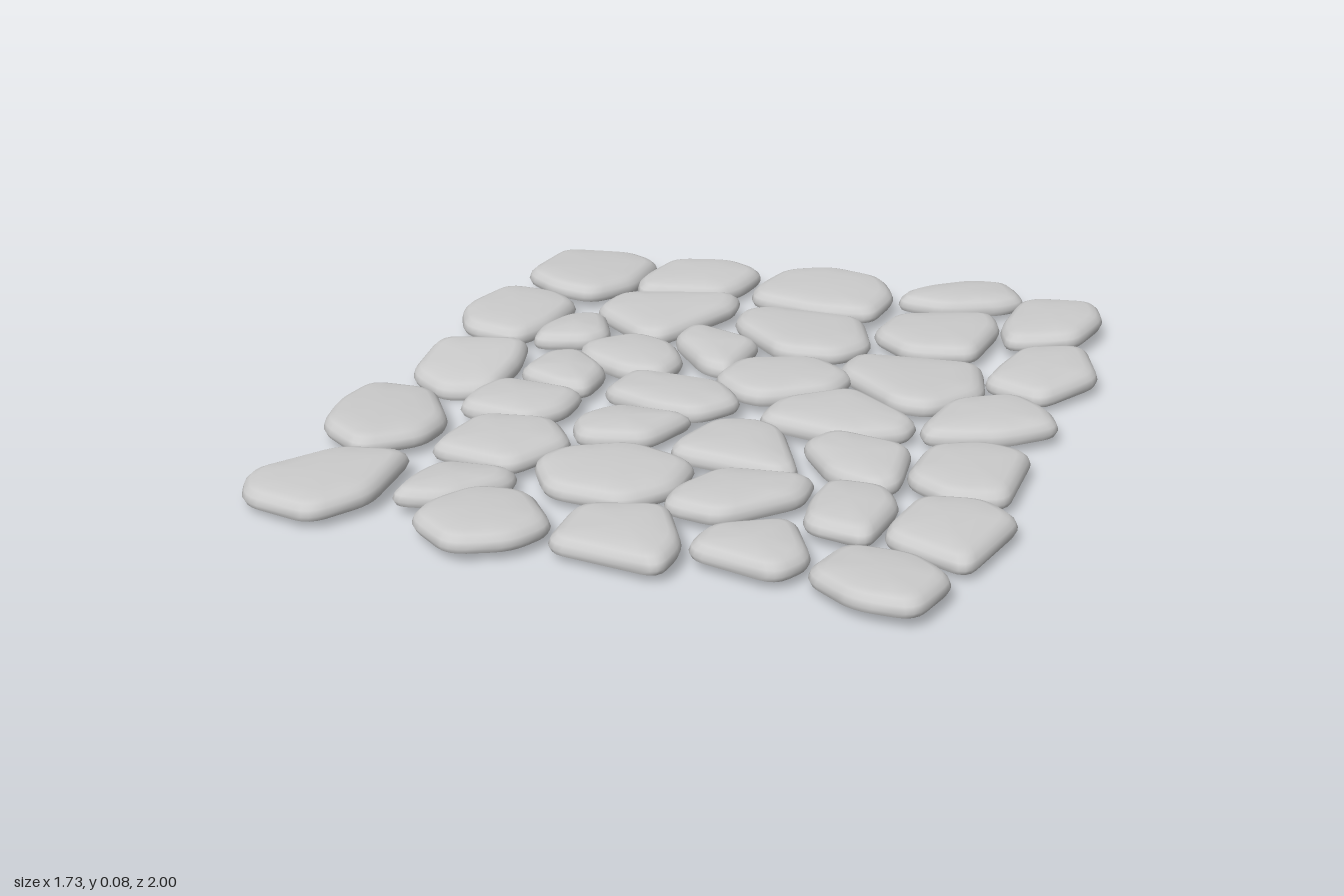
import * as THREE from 'three';

const material = new THREE.MeshStandardMaterial({ color: 0xcccccc, roughness: 0.9, side: THREE.DoubleSide });

// Stone profile from the open underside to the crown: [inset from outline, height]
const PROFILE = [[0.006, 0], [0, 0.012], [0.005, 0.026], [0.018, 0.038], [0.036, 0.044], [0.08, 0.047]];
const ARC = 4; // segments per rounded corner

// Rounds every corner of a polygon; returns the outline as Vector2 (x, z)
function roundedOutline(flat) {
  const corners = [];
  for (let i = 0; i < flat.length; i += 2) corners.push(new THREE.Vector2(flat[i] / 100, flat[i + 1] / 100));
  const n = corners.length, outline = [];
  const towards = (a, b) => {
    const length = a.distanceTo(b);
    return a.clone().lerp(b, Math.min(0.045, length * 0.36) / length);
  };
  corners.forEach((corner, i) => {
    const start = towards(corner, corners[(i + n - 1) % n]);
    const end = towards(corner, corners[(i + 1) % n]);
    outline.push(...new THREE.QuadraticBezierCurve(start, corner, end).getPoints(ARC));
  });
  return outline;
}

// Domed, bottomless stone lofted from scaled copies of its outline
function stoneGeometry(flat, base, tiltX, tiltZ) {
  const outline = roundedOutline(flat), n = outline.length;
  const centre = outline.reduce((s, p) => s.add(p), new THREE.Vector2()).divideScalar(n);
  const radius = outline.reduce((s, p) => s + p.distanceTo(centre), 0) / n;
  const positions = [], index = [];
  const push = (x, y, z) => positions.push(centre.x + x, base + y + tiltX * x + tiltZ * z, centre.y + z);
  for (const [inset, y] of PROFILE) {
    const k = 1.02 * (1 - inset / radius);
    for (const p of outline) push((p.x - centre.x) * k, y, (p.y - centre.y) * k);
  }
  push(0, 0.05, 0);
  const last = PROFILE.length - 1, crown = PROFILE.length * n;
  for (let r = 0; r <= last; r++) {
    for (let i = 0; i < n; i++) {
      const j = (i + 1) % n, a = r * n + i, b = r * n + j;
      if (r === last) index.push(crown, b, a);
      else index.push(a + n, b, a, a + n, b + n, b);
    }
  }
  const geometry = new THREE.BufferGeometry();
  geometry.setAttribute('position', new THREE.Float32BufferAttribute(positions, 3));
  geometry.setIndex(index);
  geometry.computeVertexNormals();
  return geometry;
}

export function createModel() {
  const model = new THREE.Group();
  model.name = 'stonePaving';
  let count = 0;

  // Corners are x, z pairs in hundredths, clockwise from above;
  // settings override the resting height and slope of single stones
  function addRow(name, stones, settings = {}) {
    const row = new THREE.Group();
    row.name = name;
    stones.forEach((corners, i) => {
      count++;
      const { base = 0.021, tiltX = 0.025 * Math.sin(count * 2.4), tiltZ = 0.025 * Math.cos(count * 1.7) } = settings[i] ?? {};
      const stone = new THREE.Mesh(stoneGeometry(corners, base, tiltX, tiltZ), material);
      stone.name = `stone${count}`;
      row.add(stone);
    });
    model.add(row);
  }

  addRow('backRow', [
    [-76, -89, -57, -94, -47, -89, -47, -69, -55, -56, -67, -58, -78, -66],
    [-43, -89, -27, -94, -16, -89, -18, -76, -22, -69, -44, -64, -47, -72],
    [-10, -88, 2, -94, 18, -90, 24, -79, 22, -63, 5, -62, -12, -66, -14, -73],
    [25, -82, 29, -89, 41, -99, 51, -101, 58, -89, 53, -82, 38, -75, 26, -77],
    [61, -88, 77, -89, 81, -78, 77, -61, 60, -55, 56, -66, 57, -84],
  ], { 0: { base: 0.02, tiltX: -0.03, tiltZ: 0.03 }, 2: { base: 0.031, tiltX: 0, tiltZ: -0.02 }, 4: { base: 0.029, tiltX: 0.03, tiltZ: -0.01 } });

  addRow('secondRow', [
    [-47, -60, -16, -67, -14, -57, -26, -33, -32, -32, -50, -47, -49, -55],
    [-7, -61, 20, -62, 27, -44, 21, -33, 6, -31, -11, -47, -12, -56],
    [27, -67, 52, -76, 56, -66, 54, -44, 37, -41, 25, -52],
    [65, -53, 80, -58, 87, -39, 76, -21, 60, -28, 61, -37],
  ]);

  addRow('thirdRow', [
    [-79, -55, -64, -55, -56, -49, -57, -32, -62, -20, -78, -23, -84, -36],
    [-55, -41, -46, -44, -39, -29, -43, -22, -57, -19, -59, -28],
    [-33, -32, -21, -28, -15, -18, -17, -7, -27, -6, -41, -13, -44, -21],
    [-21, -43, 0, -36, -2, -15, -10, -17, -23, -32],
    [-2, -24, 17, -30, 29, -21, 27, -10, 11, 0, 4, -2, -5, -11],
    [25, -35, 57, -40, 62, -21, 52, -6, 43, -6, 24, -23],
    [55, -13, 70, -21, 80, -13, 84, -4, 72, 6, 55, 10, 52, 5],
  ]);

  addRow('middleRow', [
    [-80, -12, -57, -17, -54, -5, -55, 12, -67, 16, -79, 8],
    [-50, -13, -43, -17, -31, -6, -31, 8, -38, 9, -52, 3],
    [-26, -9, 0, -6, 8, 5, 0, 16, -13, 14, -28, 7],
    [15, 1, 31, -12, 51, 2, 50, 10, 36, 17, 14, 13],
  ], { 0: { base: 0.015, tiltX: 0, tiltZ: -0.1 } });

  addRow('fifthRow', [
    [-54, 8, -31, 10, -31, 22, -38, 31, -57, 28, -58, 19],
    [-21, 15, 0, 16, -6, 34, -23, 37, -28, 26],
    [5, 17, 15, 14, 22, 17, 32, 38, 29, 42, 2, 39, 0, 34],
    [33, 14, 54, 19, 56, 38, 52, 43, 39, 38, 28, 23],
    [57, 16, 70, 10, 81, 13, 81, 40, 68, 43, 56, 35],
  ]);

  addRow('sixthRow', [
    [-84, 20, -67, 19, -56, 36, -57, 48, -69, 59, -83, 49, -86, 35],
    [-50, 31, -31, 29, -22, 41, -31, 58, -53, 53, -53, 46],
    [-23, 45, -8, 37, 9, 42, 9, 56, 0, 67, -19, 66, -27, 53],
    [15, 43, 37, 41, 38, 53, 23, 69, 9, 66, 8, 58],
    [40, 41, 54, 41, 59, 50, 57, 70, 41, 66, 39, 53],
    [62, 45, 77, 42, 86, 49, 80, 75, 60, 67, 59, 61],
  ]);

  addRow('frontRow', [
    [-72, 60, -55, 58, -54, 82, -63, 95, -82, 90, -87, 79],
    [-47, 60, -29, 58, -27, 65, -37, 79, -50, 82, -50, 71],
    [-34, 70, -21, 69, -10, 83, -15, 94, -28, 100, -41, 90, -41, 82],
    [-9, 72, 11, 67, 20, 84, 19, 96, -9, 91],
    [22, 74, 39, 64, 48, 81, 43, 91, 21, 86],
    [52, 72, 69, 73, 79, 82, 75, 99, 61, 98, 48, 88],
  ]);

  return model;
}
